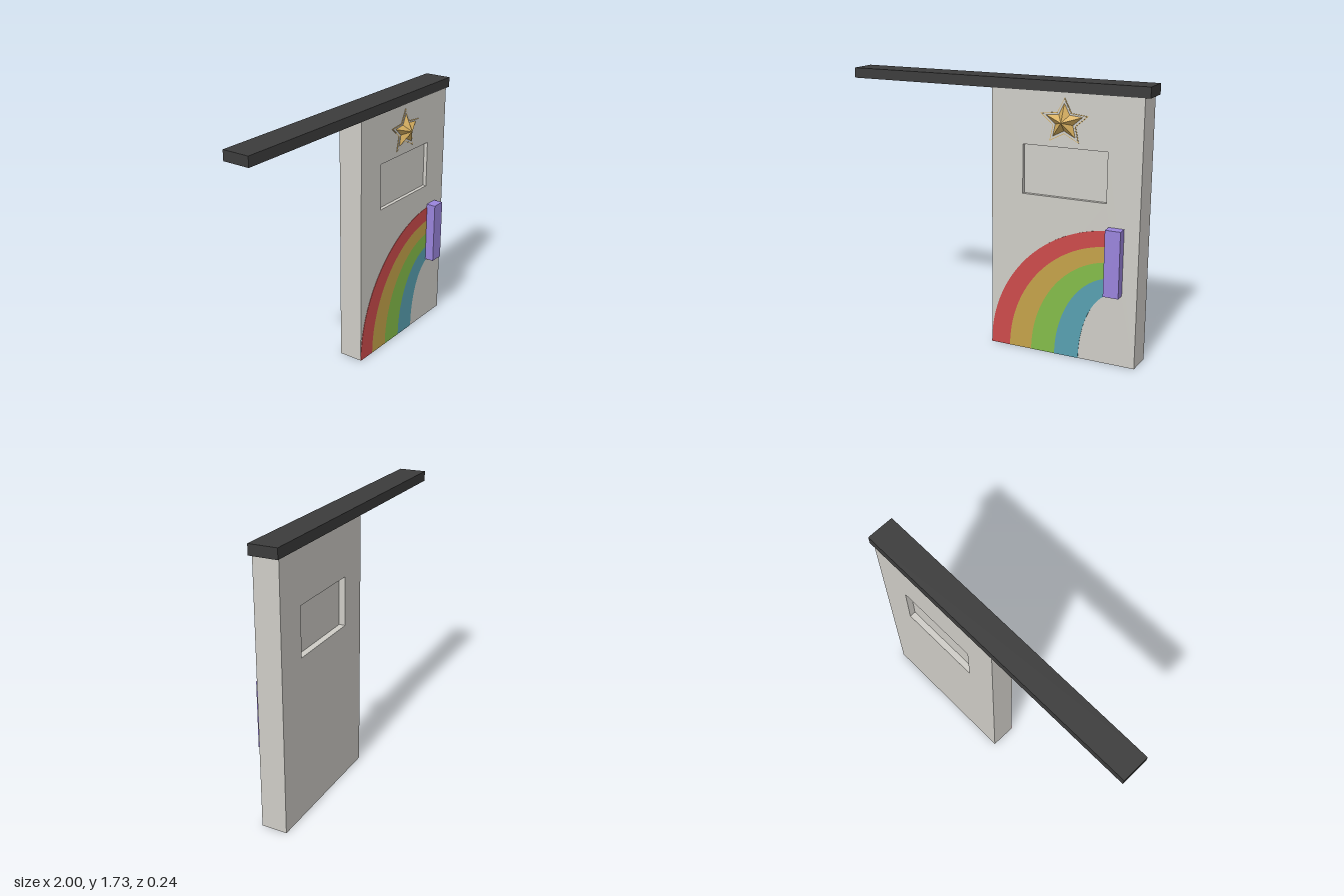
import * as THREE from 'three';

const paint = (name, color) => {
  const m = new THREE.MeshStandardMaterial({ color });
  m.name = name;
  return m;
};

// Five-pointed star outline, slightly wider than tall
function starPoints(radius) {
  return Array.from({ length: 10 }, (_, i) => {
    const r = i % 2 ? radius * 0.48 : radius;
    const a = Math.PI / 2 + (i * Math.PI) / 5;
    return new THREE.Vector2(r * Math.cos(a) * 1.09, r * Math.sin(a));
  });
}

// Faceted star rising to a central apex
function starPyramid(radius, height) {
  const pts = starPoints(radius), pos = [];
  pts.forEach((p, i) => {
    const q = pts[(i + 1) % pts.length];
    pos.push(p.x, p.y, 0, q.x, q.y, 0, 0, 0, height);
  });
  const g = new THREE.BufferGeometry();
  g.setAttribute('position', new THREE.Float32BufferAttribute(pos, 3));
  g.computeVertexNormals();
  return g;
}

export function createModel() {
  const group = new THREE.Group();
  group.name = 'slidingDoor';
  const grey = paint('door grey', 0xcfcdc7);
  const dark = paint('rail charcoal', 0x3c3c3c);
  const purple = paint('handle purple', 0x9a84dc);
  const gold = paint('star gold', 0xd8b060);
  const bands = [
    paint('rainbow red', 0xcc4b4b), paint('rainbow yellow', 0xc4a24a),
    paint('rainbow green', 0x84bc4a), paint('rainbow blue', 0x58a0b0),
  ];

  const add = (name, geometry, material, x = 0, y = 0, z = 0) => {
    const mesh = new THREE.Mesh(geometry, material);
    mesh.name = name;
    mesh.position.set(x, y, z);
    group.add(mesh);
    return mesh;
  };
  const box = (name, material, [x0, x1], [y0, y1], [z0, z1]) =>
    add(name, new THREE.BoxGeometry(x1 - x0, y1 - y0, z1 - z0), material,
      (x0 + x1) / 2, (y0 + y1) / 2, (z0 + z1) / 2);
  const plate = (shape, depth) =>
    new THREE.ExtrudeGeometry(shape, { depth, bevelEnabled: false });

  // Door slab with window opening; its free edge narrows slightly to the front
  const slab = new THREE.Shape([[0, 0], [0.975, 0], [0.975, 1.66], [0, 1.66]]
    .map(([x, y]) => new THREE.Vector2(x, y)));
  slab.holes.push(new THREE.Path([[0.21, 1.02], [0.21, 1.33], [0.755, 1.33], [0.755, 1.02]]
    .map(([x, y]) => new THREE.Vector2(x, y))));
  const slabGeo = plate(slab, 0.165);
  const p = slabGeo.attributes.position;
  for (let i = 0; i < p.count; i++) {
    if (p.getX(i) > 0.97 && p.getZ(i) > 0.1) p.setX(i, 0.967);
  }
  slabGeo.computeVertexNormals();
  add('doorSlab', slabGeo, grey, 0, 0, -0.11);

  // Recessed panel and overhead rail
  box('windowPanel', grey, [0.21, 0.755], [1.02, 1.33], [-0.07, 0.03]);
  box('rail', dark, [-1, 1], [1.66, 1.725], [-0.12, 0.06]);

  // Rainbow: quarter-ellipse bands ending beneath the handle
  const cx = 0.83;
  const rx = [0.83, 0.70, 0.55, 0.39, 0.23];
  const ry = [0.855, 0.757, 0.66, 0.56, 0.46];
  bands.forEach((material, i) => {
    const s = new THREE.Shape();
    s.moveTo(cx - rx[i], 0);
    s.absellipse(cx, 0, rx[i], ry[i], Math.PI, Math.PI / 2, true);
    s.lineTo(cx, ry[i + 1]);
    s.absellipse(cx, 0, rx[i + 1], ry[i + 1], Math.PI / 2, Math.PI, false);
    add('rainbowBand' + (i + 1), new THREE.ExtrudeGeometry(s,
      { depth: 0.003, bevelEnabled: false, curveSegments: 24 }), material, 0, 0, 0.0545);
  });

  // Handle
  box('handle', purple, [0.775, 0.872], [0.46, 0.877], [0.05, 0.12]);

  // Star: thin gold rim, grey inset, raised gold centre
  add('starRim', plate(new THREE.Shape(starPoints(0.147)), 0.004), gold, 0.478, 1.484, 0.054);
  add('starInset', plate(new THREE.Shape(starPoints(0.138)), 0.006), grey, 0.478, 1.484, 0.054);
  add('starCentre', starPyramid(0.112, 0.05), gold, 0.478, 1.486, 0.0602);

  return group;
}
